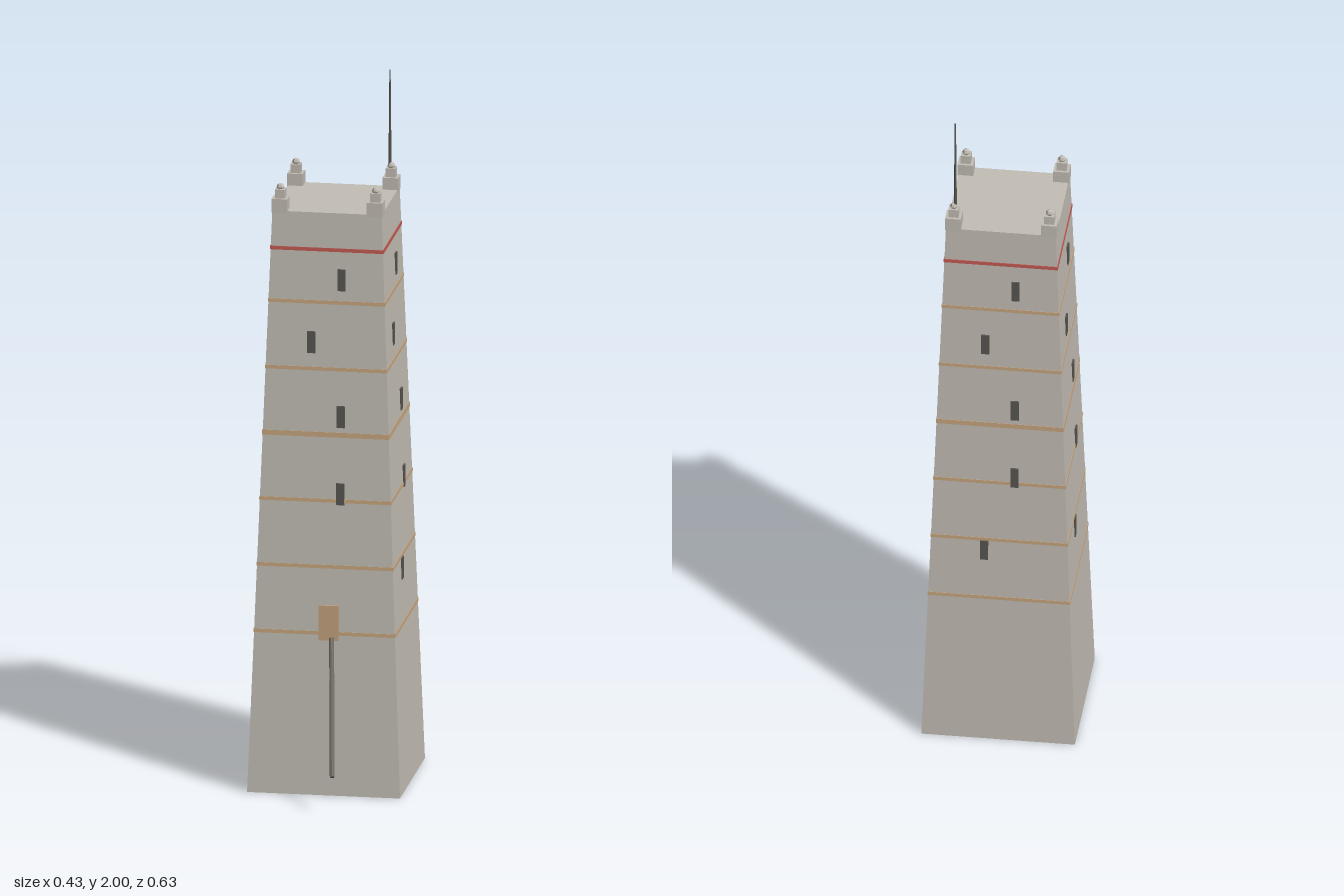
import * as THREE from 'three';

const mat = (name, color) => {
  const m = new THREE.MeshStandardMaterial({ color });
  m.name = name;
  return m;
};

// Half-width of the tapering wall at height y
const half = (y) => 0.215 - 0.0368 * y;

// Give every face its own flat normal
function flat(geo) {
  const g = geo.index ? geo.toNonIndexed() : geo;
  g.computeVertexNormals();
  return g;
}

// Square frustum from y0 to y1, following the wall plus an overhang
function frustum(y0, y1, out = 0) {
  const g = new THREE.CylinderGeometry(
    (half(y1) + out) * Math.SQRT2, (half(y0) + out) * Math.SQRT2, y1 - y0, 4);
  g.rotateY(Math.PI / 4).translate(0, (y0 + y1) / 2, 0);
  return flat(g);
}

export function createModel() {
  const stone = mat('stone', 0xc3beb5);
  const tan = mat('tan', 0xc6a57f);
  const red = mat('red', 0xc25a52);
  const dark = mat('window dark', 0x5a5752);
  const iron = mat('weathered pole', 0x726d65);

  const model = new THREE.Group();
  model.name = 'tower';
  const tower = new THREE.Group();
  tower.name = 'towerBody';
  tower.position.z = -0.102;
  model.add(tower);

  const add = (parent, name, geo, material, x = 0, y = 0, z = 0) => {
    const mesh = new THREE.Mesh(geo, material);
    mesh.name = name;
    mesh.position.set(x, y, z);
    parent.add(mesh);
    return mesh;
  };

  // Tapered shaft with flat roof
  add(tower, 'shaft', frustum(0, 1.66), stone);

  // Thin string courses
  for (const y of [0.462, 0.652, 0.84, 1.028, 1.215, 1.405]) {
    const h = y === 1.028 ? 0.007 : 0.005;
    add(tower, 'stringCourse', frustum(y - h, y + h, 0.0015), tan);
  }
  add(tower, 'redCourse', frustum(1.55, 1.56, 0.002), red);

  // Slit windows, the same pattern turned around all four sides
  const windows = [[-1, 0.617], [1, 0.86], [1, 1.08], [-1, 1.29], [1, 1.47]];
  for (let side = 0; side < 4; side++) {
    const wall = new THREE.Group();
    wall.name = 'windowWall';
    wall.rotation.y = side * Math.PI / 2;
    tower.add(wall);
    for (const [s, y] of windows) {
      if (side === 0 && y < 0.7) continue; // the door is here instead
      add(wall, 'window', new THREE.BoxGeometry(0.023, 0.062, 0.008), dark, s * 0.042, y, half(y));
    }
  }

  // Corner pinnacles
  for (const sx of [-1, 1]) {
    for (const sz of [-1, 1]) {
      const pinnacle = new THREE.Group();
      pinnacle.name = 'pinnacle';
      pinnacle.position.set(sx * 0.134, 0, sz * 0.134);
      tower.add(pinnacle);
      add(pinnacle, 'pinnacleBase', new THREE.BoxGeometry(0.044, 0.04, 0.044), stone, 0, 1.674, 0);
      add(pinnacle, 'pinnacleBlock', new THREE.BoxGeometry(0.028, 0.026, 0.028), stone, 0, 1.706, 0);
      add(pinnacle, 'finial', flat(new THREE.SphereGeometry(0.011, 6, 4)), stone, 0, 1.724, 0);
    }
  }

  // Mast on the back left corner
  add(tower, 'mast', new THREE.CylinderGeometry(0.0018, 0.0045, 0.28, 8), dark, 0.13, 1.86, -0.134);

  // Door plate on the front
  add(model, 'door', new THREE.BoxGeometry(0.056, 0.1, 0.008), tan, 0.012, 0.492, 0.095);

  // Slanting pole below the door
  const top = new THREE.Vector3(0.021, 0.45, 0.102);
  const foot = new THREE.Vector3(0.057, 0.108, 0.311);
  const dir = top.clone().sub(foot);
  const pole = add(model, 'pole', flat(new THREE.CylinderGeometry(0.007, 0.007, dir.length(), 8)), iron);
  pole.position.copy(top).add(foot).multiplyScalar(0.5);
  pole.quaternion.setFromUnitVectors(new THREE.Vector3(0, 1, 0), dir.normalize());

  return model;
}
